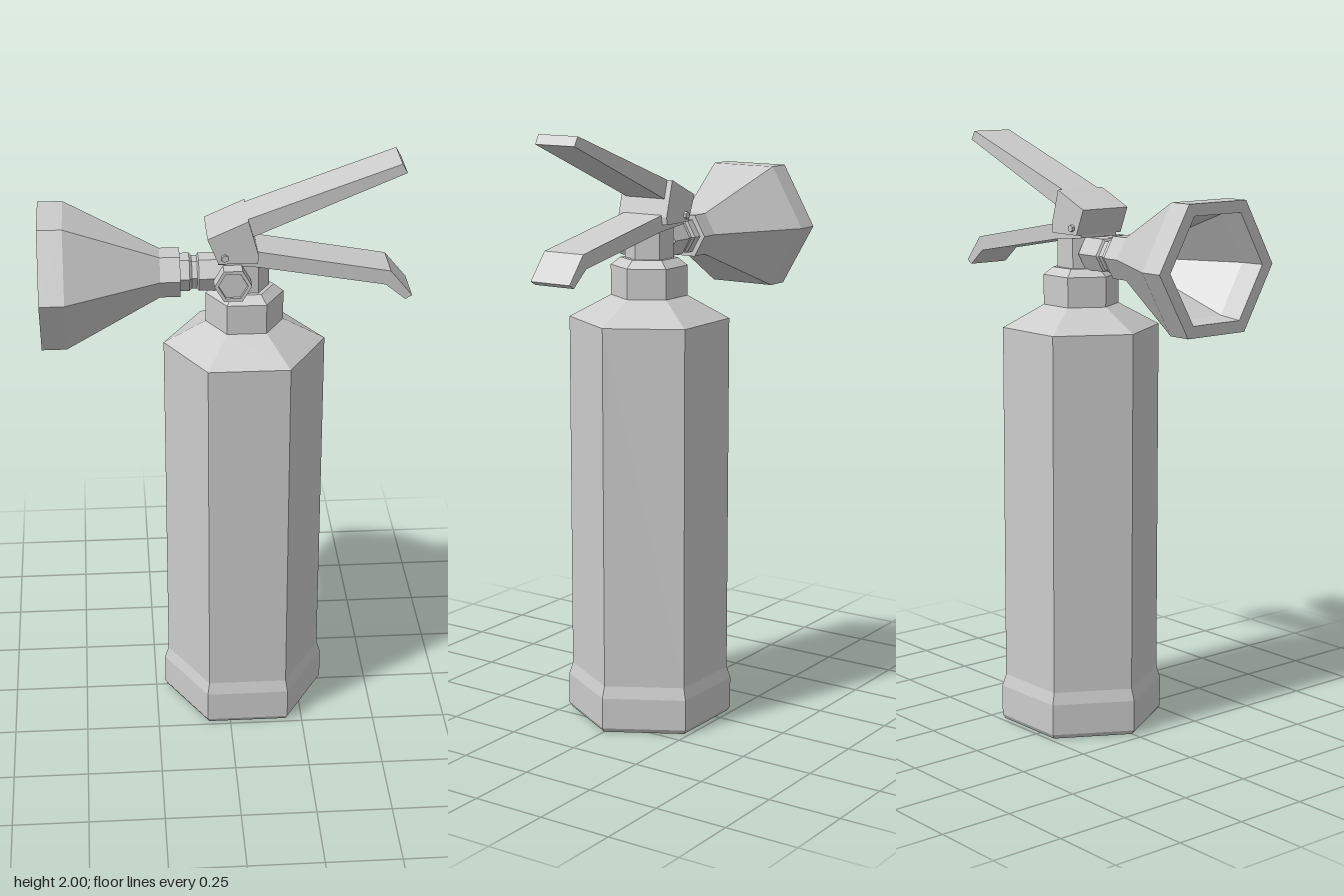
import * as THREE from 'three';

const material = new THREE.MeshStandardMaterial({ color: 0xcccccc, flatShading: true, side: THREE.DoubleSide });

function add(group, name, geometry, x = 0, y = 0, z = 0) {
  const mesh = new THREE.Mesh(geometry, material);
  mesh.name = name;
  mesh.position.set(x, y, z);
  group.add(mesh);
  return mesh;
}

// Six-sided turned part from [radius, height] pairs
function hexLathe(profile, phase = 0) {
  return new THREE.LatheGeometry(profile.map(([r, h]) => new THREE.Vector2(r, h)), 6, phase);
}

// Side outline given width across z
function plate(points, width) {
  const shape = new THREE.Shape(points.map(([x, y]) => new THREE.Vector2(x, y)));
  const geometry = new THREE.ExtrudeGeometry(shape, { depth: width, bevelEnabled: false });
  return geometry.translate(0, 0, -width / 2);
}

export function createModel() {
  const model = new THREE.Group();
  model.name = 'fireExtinguisher';
  const bodyX = 0.06;
  const axisY = 1.62;
  const corner = Math.PI / 6; // puts hexagon corners on the x axis

  // Tank with a wider foot and sloped shoulder
  add(model, 'tank', hexLathe([
    [0, 0], [0.268, 0], [0.278, 0.015], [0.278, 0.12], [0.265, 0.16],
    [0.265, 1.37], [0.127, 1.445], [0, 1.445],
  ], corner), bodyX);

  // Neck collar and valve stem
  add(model, 'collar', hexLathe([
    [0.127, 1.435], [0.127, 1.545], [0.095, 1.57], [0, 1.57],
  ], corner), bodyX);
  add(model, 'valveStem', hexLathe([
    [0.08, 1.56], [0.08, 1.69], [0, 1.69],
  ], corner), bodyX);

  // Hollow discharge horn, pointing along -x
  const horn = add(model, 'horn', hexLathe([
    [0, 0.15], [0.08, 0.15], [0.08, 0.215], [0.239, 0.52], [0.239, 0.6],
    [0.195, 0.6], [0.185, 0.52], [0.05, 0.25], [0, 0.25],
  ]), 0, axisY);
  horn.rotation.z = Math.PI / 2;

  // Stepped coupling between horn and valve
  const coupling = add(model, 'hornCoupling', hexLathe([
    [0.062, 0], [0.062, 0.09], [0.054, 0.095], [0.054, 0.112], [0.062, 0.12], [0.062, 0.16],
  ]), 0, axisY);
  coupling.rotation.z = Math.PI / 2;

  // Pressure gauge on the front
  const gauge = add(model, 'gauge', hexLathe([
    [0.045, 0], [0.045, 0.075], [0.06, 0.075], [0.06, 0.125], [0.048, 0.125], [0.046, 0.118], [0, 0.118],
  ], corner), 0.015, axisY);
  gauge.rotation.x = Math.PI / 2;

  // Lever bracket and its pivot pin
  add(model, 'leverBracket', plate([
    [-0.065, 1.77], [-0.03, 1.685], [0.095, 1.685], [0.098, 1.71], [0.065, 1.828],
  ], 0.19));
  const pin = add(model, 'pivotPin', new THREE.CylinderGeometry(0.012, 0.012, 0.212, 6), -0.01, 1.707);
  pin.rotation.x = Math.PI / 2;

  // Squeeze lever above, carrying handle below
  add(model, 'upperLever', plate([
    [0.02, 1.745], [0.083, 1.768], [0.565, 1.97], [0.548, 2.0], [0.06, 1.826], [0.0, 1.79],
  ], 0.15));
  add(model, 'lowerHandle', plate([
    [-0.03, 1.675], [0.1, 1.662], [0.51, 1.59], [0.575, 1.537], [0.597, 1.55],
    [0.525, 1.637], [0.095, 1.716], [-0.03, 1.72],
  ], 0.15));

  return model;
}
